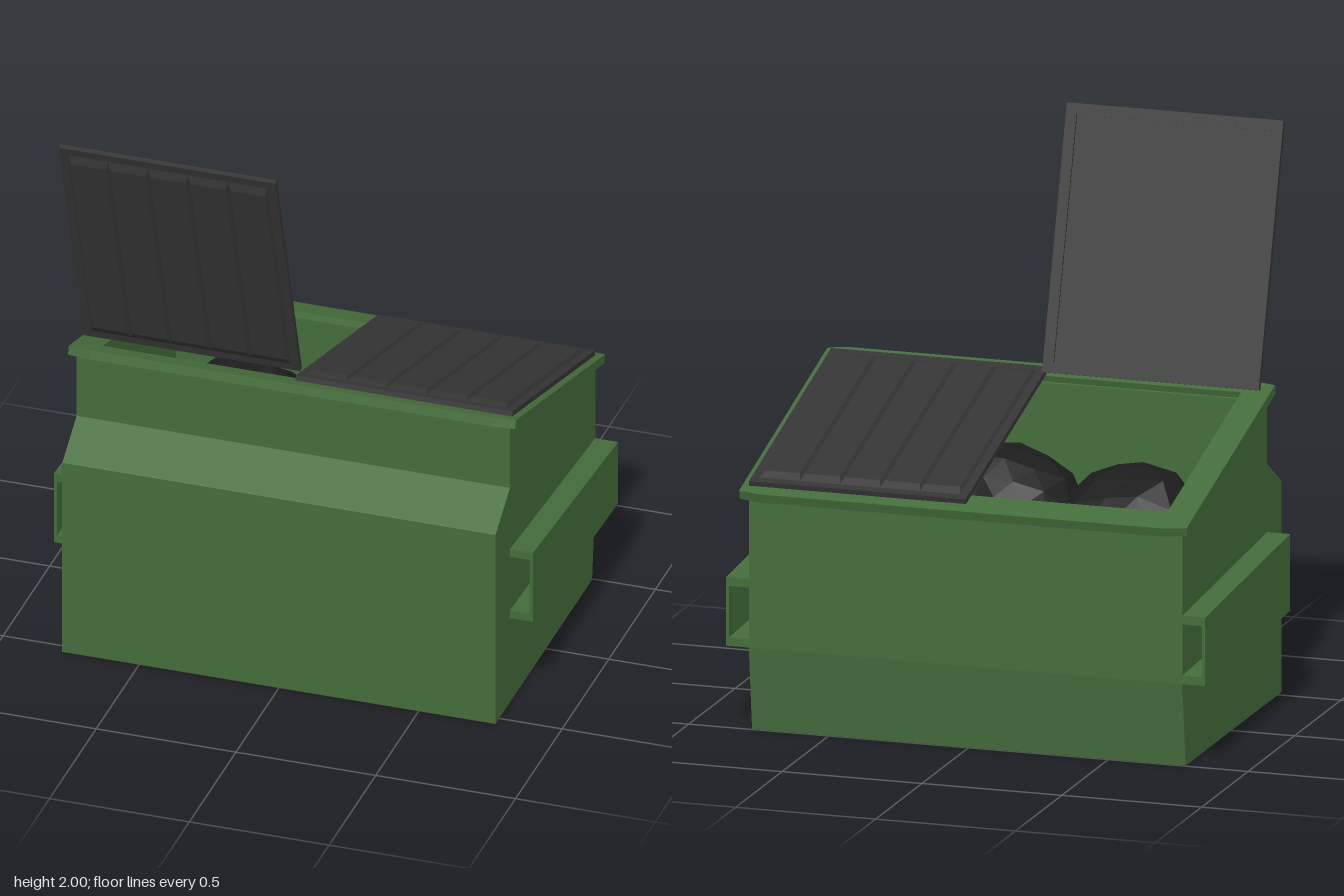
import * as THREE from 'three';

const green = new THREE.MeshStandardMaterial({ color: 0x446c3b, flatShading: true });
const lidGrey = new THREE.MeshStandardMaterial({ color: 0x353535, flatShading: true });
const bagBlack = new THREE.MeshStandardMaterial({ color: 0x1c1c1c, flatShading: true });
const TILT = -0.27; // slope of the rim and the closed lid

function add(parent, name, geometry, material) {
  const mesh = new THREE.Mesh(geometry, material);
  mesh.name = name;
  parent.add(mesh);
  return mesh;
}

const outline = (points) => points.map(([a, b]) => new THREE.Vector2(a, b));

// Side outline of [z, y] points, extruded from x0 to x1
function extrudeX(points, x0, x1) {
  const shape = new THREE.Shape(outline(points.map(([z, y]) => [-z, y])));
  const g = new THREE.ExtrudeGeometry(shape, { depth: x1 - x0, bevelEnabled: false });
  return g.rotateY(Math.PI / 2).translate(x0, 0, 0);
}

// Flat ring lying in the x / -z plane, from y0 up to y1
function flatRing(outer, inner, y0, y1) {
  const shape = new THREE.Shape(outline(outer));
  shape.holes.push(new THREE.Path(outline(inner)));
  const g = new THREE.ExtrudeGeometry(shape, { depth: y1 - y0, bevelEnabled: false });
  return g.rotateX(-Math.PI / 2).translate(0, y0, 0);
}

const rect = (x0, x1, a0, a1) => [[x0, a0], [x1, a0], [x1, a1], [x0, a1]];

// Box whose top face is inset, giving sloped sides
function raisedPanel(w, h, d, insetX, insetZ) {
  const g = new THREE.BoxGeometry(w, h, d);
  const p = g.attributes.position;
  for (let i = 0; i < p.count; i++) {
    if (p.getY(i) < 0) continue;
    p.setX(i, p.getX(i) * (1 - (2 * insetX) / w));
    p.setZ(i, p.getZ(i) * (1 - (2 * insetZ) / d));
  }
  g.computeVertexNormals();
  return g;
}

// Lid hinged at its local origin, reaching towards -z, ribbed side up
function makeLid(name) {
  const W = 0.775, L = 0.92;
  const lid = new THREE.Group();
  lid.name = name;
  add(lid, 'lidPlate', new THREE.BoxGeometry(W, 0.01, L).translate(W / 2, 0.013, -L / 2), lidGrey);
  add(lid, 'lidUnderFrame', flatRing(rect(0, W, 0, L), rect(0.038, W - 0.038, 0.038, L - 0.038), 0, 0.008), lidGrey);
  const step = (W - 0.06) / 5;
  for (let i = 0; i < 5; i++) {
    const panel = add(lid, 'lidPanel', raisedPanel(step, 0.012, L - 0.06, 0.009, 0.03), lidGrey);
    panel.position.set(0.03 + step * (i + 0.5), 0.024, -L / 2);
  }
  return lid;
}

// Lumpy full bag: an icosphere pushed in and out by a position rule
function makeBag(parent, [x, y, z], [rx, ry, rz], seed) {
  const g = new THREE.IcosahedronGeometry(1, 2);
  const p = g.attributes.position;
  const v = new THREE.Vector3();
  for (let i = 0; i < p.count; i++) {
    v.fromBufferAttribute(p, i);
    const lump = 0.06 * Math.sin(4 * v.x + seed) * Math.cos(3 * v.z - seed)
      + 0.04 * Math.sin(9 * v.y + 5 * v.x + 2 * seed);
    v.multiplyScalar(1 + lump);
    p.setXYZ(i, v.x * rx, v.y * ry, v.z * rz);
  }
  g.computeVertexNormals();
  add(parent, 'rubbishBag', g, bagBlack).position.set(x, y, z);
}

export function createModel() {
  const model = new THREE.Group();
  model.name = 'dumpster';

  // Body: hollow middle section closed by two solid end walls
  const side = [[-0.495, 0], [0.54, 0], [0.54, 0.74], [0.385, 0.84], [0.385, 1.09], [-0.53, 0.835], [-0.53, 0.295]];
  const hollow = [
    ...side.slice(0, 5), [0.33, 1.074], [0.33, 0.03], [-0.455, 0.03], [-0.455, 0.856], ...side.slice(5),
  ];
  add(model, 'bodyShell', extrudeX(hollow, -0.7, 0.7), green);
  add(model, 'leftWall', extrudeX(side, 0.7, 0.775), green);
  add(model, 'rightWall', extrudeX(side, -0.775, -0.7), green);

  // Sloped rim around the opening, corners clipped
  const R = 1.018;
  const rimOuter = [
    [-0.72, 0], [0.72, 0], [0.8, 0.014], [0.8, R - 0.014],
    [0.72, R], [-0.72, R], [-0.8, R - 0.014], [-0.8, 0.014],
  ];
  const rim = add(model, 'rim', flatRing(rimOuter, rect(-0.7, 0.7, 0.08, 0.906), -0.032, 0), green);
  rim.position.set(0, 1.119, 0.408);
  rim.rotation.x = TILT;

  // Fork pockets: top, bottom and outer plates, open at both ends
  const zf = 0.385, zb = -0.53, t = 0.03;
  const plates = {
    pocketTop: [[zb, 0.535 - t], [zf, 0.6 - t], [zf, 0.6], [zb, 0.535]],
    pocketBottom: [[zb, 0.295], [zf, 0.33], [zf, 0.33 + t], [zb, 0.295 + t]],
    pocketOuter: [[zb, 0.295], [zf, 0.33], [zf, 0.6], [zb, 0.535]],
  };
  for (const s of [1, -1]) {
    const pocket = new THREE.Group();
    pocket.name = s > 0 ? 'leftForkPocket' : 'rightForkPocket';
    for (const [name, pts] of Object.entries(plates)) {
      const [a, b] = name === 'pocketOuter' ? [0.845, 0.857] : [0.77, 0.845];
      add(pocket, name, extrudeX(pts, s > 0 ? a : -b, s > 0 ? b : -a), green);
    }
    model.add(pocket);
  }

  // Lids: left one closed on the rim, right one swung open
  const closed = makeLid('closedLid');
  closed.position.set(0, 1.107, 0.362);
  closed.rotation.x = TILT;
  const open = makeLid('openLid');
  open.position.set(-0.775, 1.12, 0.293);
  open.rotation.x = 1.866;
  model.add(closed, open);

  // Bags heaped inside
  const bags = new THREE.Group();
  bags.name = 'rubbishBags';
  makeBag(bags, [-0.4, 0.61, 0.09], [0.3, 0.27, 0.24], 1);
  makeBag(bags, [0.04, 0.63, 0.09], [0.27, 0.28, 0.23], 2.3);
  makeBag(bags, [0.44, 0.6, 0.08], [0.24, 0.24, 0.23], 3.1);
  makeBag(bags, [-0.36, 0.5, -0.25], [0.31, 0.28, 0.2], 4.2);
  makeBag(bags, [0.17, 0.52, -0.24], [0.28, 0.27, 0.21], 5.4);
  model.add(bags);

  return model;
}
